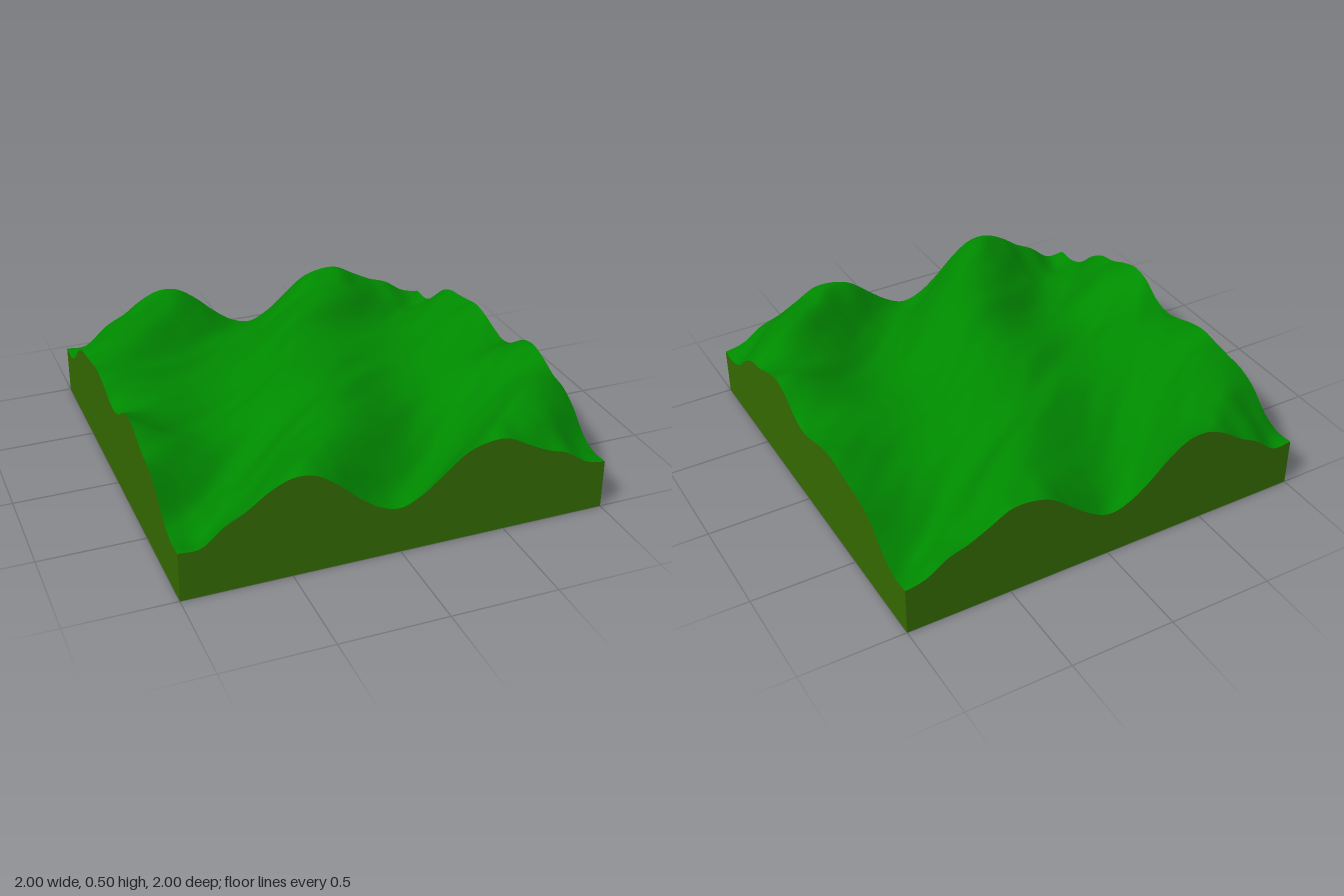
import * as THREE from 'three';

const N = 128; // grid cells per side

// Edge profiles, sampled evenly from -1 to 1
const frontBackEdge = [.237, .237, .315, .37, .44, .483, .475, .41, .32, .25, .225, .27, .35, .43, .463, .462, .41, .36, .325, .26, .237];
const sideEdge = [.237, .235, .28, .365, .41, .425, .44, .455, .44, .41, .39, .415, .48, .50, .475, .435, .415, .36, .275, .235, .237];

function profile(values, t) {
  const p = (t + 1) / 2 * (values.length - 1);
  const i = Math.min(Math.floor(p), values.length - 2), f = p - i;
  const at = (k) => values[Math.max(0, Math.min(values.length - 1, k))];
  const [a, b, c, d] = [at(i - 1), at(i), at(i + 1), at(i + 2)];
  return b + 0.5 * f * (c - a + f * (2 * a - 5 * b + 4 * c - d + f * (3 * (b - c) + d - a)));
}

// Rolling diagonal ridges, shallower in the middle, with finer broken creases
function hills(x, z) {
  const P = Math.PI, c = Math.cos(P * z), s = Math.sin(P * z);
  const theta = P * (2 * x + z - 0.25 * s);
  const wave = (kx, kz, phase) => Math.cos(P * (kx * x + kz * z + phase));
  const broken = 0.55 - 0.45 * Math.cos(P * (x - z));
  return 0.37 + 0.012 * c + (0.085 - 0.04 * c + 0.018 * s) * Math.cos(theta)
    + 0.006 * wave(2, 4, -0.2) + 0.013 * broken * wave(3, 5, 0.3) + 0.004 * wave(4, 6, 0.55)
    + 0.004 * (1.1 - broken) * wave(6, 9, -0.4 + 0.4 * Math.sin(P * (x - z)))
    + 0.002 * wave(9, 12, 0.7 + 0.5 * Math.sin(P * (2 * x - z)));
}

const edgeWeight = (t) => Math.pow(Math.max(0, (Math.abs(t) - 0.6) / 0.4), 2);

// Hills pulled onto the edge profiles near the border
function height(x, z) {
  const pulled = (px, pz) =>
    hills(px, pz) + edgeWeight(pz) * (profile(frontBackEdge, px) - hills(px, Math.sign(pz)));
  const sx = Math.sign(x);
  return pulled(x, z) + edgeWeight(x) * (profile(sideEdge, z) - pulled(sx, z));
}

// Vertical wall from the ground up to the terrain edge
function wallGeometry(point) {
  const pos = [], index = [];
  for (let i = 0; i <= N; i++) {
    const [x, z] = point(-1 + 2 * i / N);
    pos.push(x, 0, z, x, height(x, z), z);
    if (i < N) {
      const a = 2 * i;
      index.push(a, a + 2, a + 1, a + 2, a + 3, a + 1);
    }
  }
  const g = new THREE.BufferGeometry();
  g.setAttribute('position', new THREE.Float32BufferAttribute(pos, 3));
  g.setIndex(index);
  g.computeVertexNormals();
  return g;
}

export function createModel() {
  const group = new THREE.Group();
  group.name = 'terrainBlock';
  const grass = new THREE.MeshStandardMaterial({ color: 0x008c00 });
  grass.name = 'grassGreen';
  const earth = new THREE.MeshStandardMaterial({ color: 0x336900 });
  earth.name = 'earthOlive';

  const add = (name, geometry, material) => {
    const mesh = new THREE.Mesh(geometry, material);
    mesh.name = name;
    group.add(mesh);
  };

  // Hilly top surface
  const top = new THREE.PlaneGeometry(2, 2, N, N).rotateX(-Math.PI / 2);
  const p = top.attributes.position;
  for (let i = 0; i < p.count; i++) p.setY(i, height(p.getX(i), p.getZ(i)));
  top.computeVertexNormals();
  add('grassSurface', top, grass);

  // Four cut sides
  add('frontWall', wallGeometry((t) => [t, 1]), earth);
  add('leftWall', wallGeometry((t) => [1, -t]), earth);
  add('backWall', wallGeometry((t) => [-t, -1]), earth);
  add('rightWall', wallGeometry((t) => [-1, t]), earth);

  // Flat underside
  add('underside', new THREE.PlaneGeometry(2, 2).rotateX(Math.PI / 2), earth);
  return group;
}
